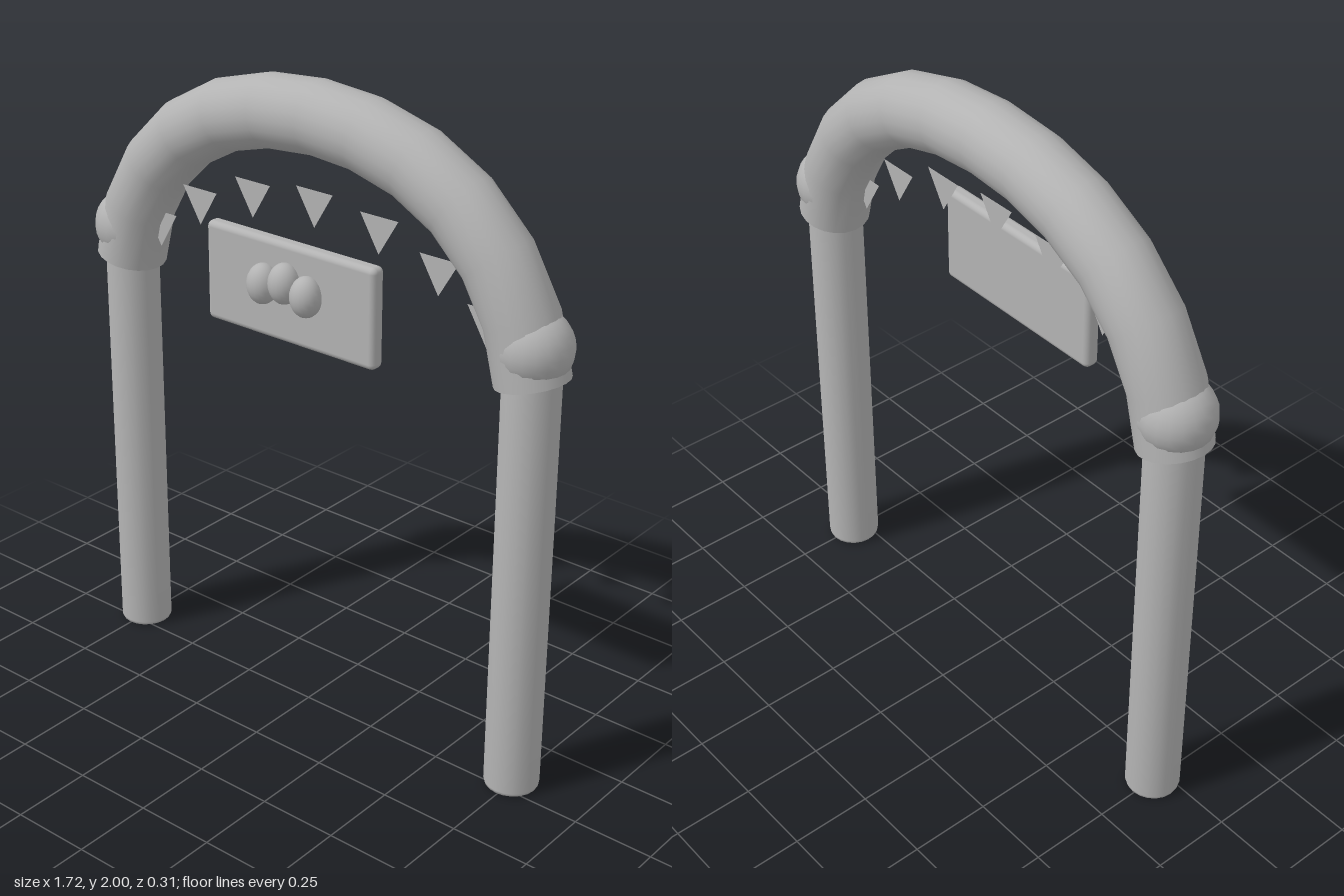
import * as THREE from 'three';
import { RoundedBoxGeometry } from 'three/addons/geometries/RoundedBoxGeometry.js';

export function createModel() {
  const group = new THREE.Group();
  const grey = new THREE.MeshStandardMaterial({ color: 0xb3b3b3, side: THREE.DoubleSide });
  grey.name = 'plain grey';
  const Z = -0.042; // plane of the posts and arch

  const add = (name, geometry, x, y, z) => {
    const mesh = new THREE.Mesh(geometry, grey);
    mesh.name = name;
    mesh.position.set(x, y, z);
    group.add(mesh);
    return mesh;
  };

  // Posts with a small bevel at the foot, and ball joints on top
  const postProfile = [[0, 0], [0.072, 0], [0.08, 0.004], [0.083, 0.014], [0.083, 1.38], [0, 1.38]]
    .map(([r, y]) => new THREE.Vector2(r, y));
  const post = new THREE.LatheGeometry(postProfile, 20);
  const ball = new THREE.SphereGeometry(0.113, 20, 14);
  for (const [side, s] of [['left', 1], ['right', -1]]) {
    add(side + 'Post', post, s * 0.747, 0, Z);
    add(side + 'BallJoint', ball, s * 0.747, 1.405, Z);
  }

  // Arch: open tube along a mirrored curve
  const half = [[0.749, 1.305], [0.715, 1.45], [0.645, 1.59], [0.53, 1.72], [0.37, 1.82], [0.19, 1.875]];
  const path = [
    ...half.map(([x, y]) => new THREE.Vector3(-x, y, 0)),
    new THREE.Vector3(0, 1.892, 0),
    ...half.slice().reverse().map(([x, y]) => new THREE.Vector3(x, y, 0)),
  ];
  add('arch', new THREE.TubeGeometry(new THREE.CatmullRomCurve3(path), 12, 0.108, 20), 0, 0, Z);

  // Sign board with three egg-shaped knobs
  add('signBoard', new RoundedBoxGeometry(0.62, 0.305, 0.05, 3, 0.018), 0, 1.402, 0.068);
  const knob = new THREE.SphereGeometry(0.048, 18, 14);
  for (const [x, y] of [[-0.08, 1.421], [0, 1.441], [0.08, 1.421]]) {
    add('signKnob', knob, x, y, 0.107).scale.y = 1.28;
  }

  // Bunting: flat hanging triangles
  const flag = new THREE.ShapeGeometry(new THREE.Shape([
    new THREE.Vector2(-0.067, 0), new THREE.Vector2(0, -0.112), new THREE.Vector2(0.067, 0),
  ]));
  for (const [x, y] of [[0, 1.682], [0.232, 1.658], [0.44, 1.588], [0.605, 1.48]]) {
    for (const s of x ? [1, -1] : [1]) add('buntingFlag', flag, s * x, y, -0.025);
  }
  return group;
}
